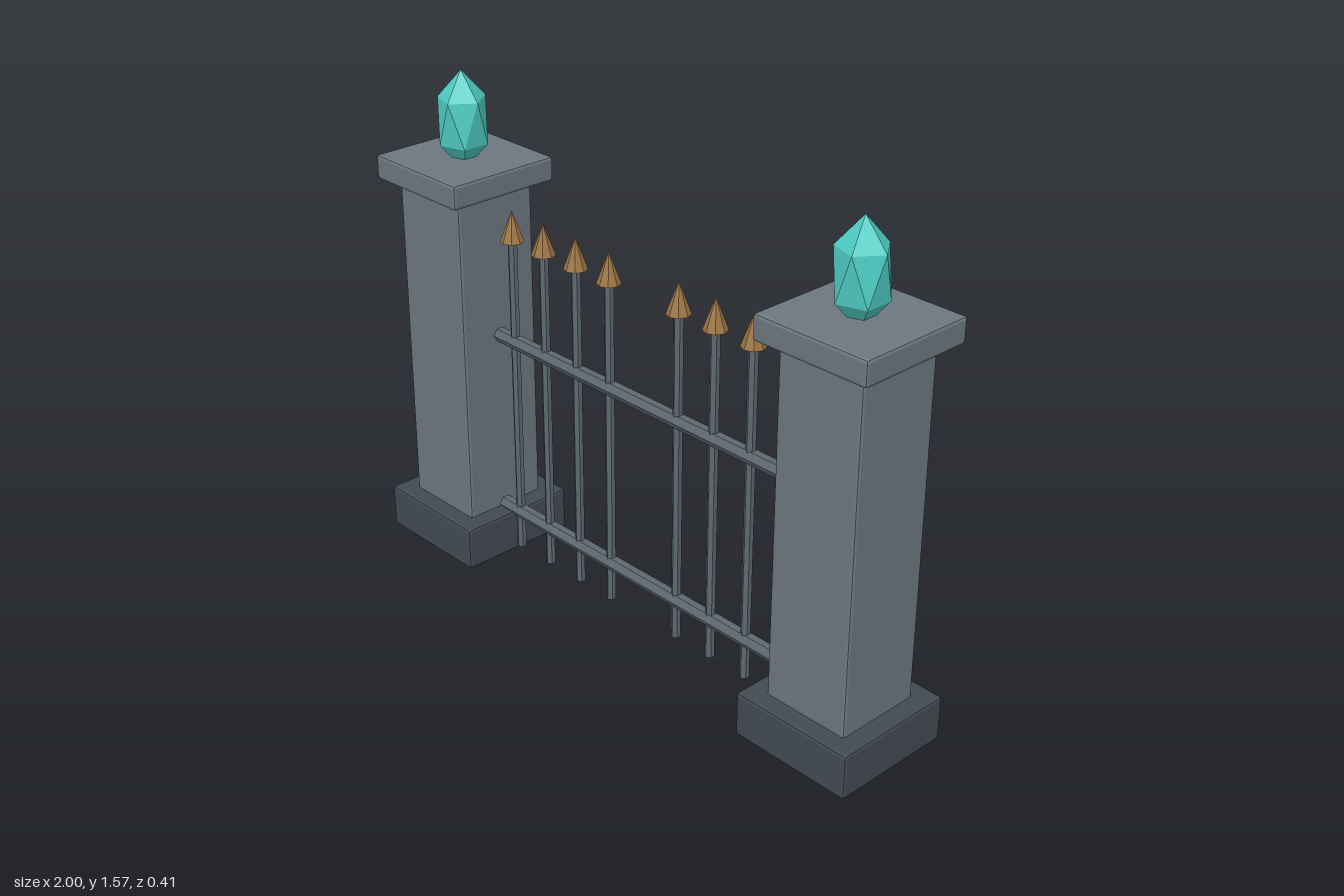
import * as THREE from 'three';
import { RoundedBoxGeometry } from 'three/addons/geometries/RoundedBoxGeometry.js';

export function createModel() {
  const material = (name, color) => {
    const m = new THREE.MeshStandardMaterial({ color, flatShading: true });
    m.name = name;
    return m;
  };
  const stone = material('stone', 0x6c7780);
  const darkStone = material('darkStone', 0x424a52);
  const iron = material('iron', 0x5d6870);
  const bronze = material('bronze', 0x9c7443);
  const crystal = material('crystal', 0x4ecdc4);

  const model = new THREE.Group();
  model.name = 'gate';
  const add = (parent, name, geometry, mat, x, y, z = 0) => {
    const mesh = new THREE.Mesh(geometry, mat);
    mesh.name = name;
    mesh.position.set(x, y, z);
    parent.add(mesh);
    return mesh;
  };

  // Bevelled block standing between two heights
  const block = (parent, name, width, bottom, top, mat) =>
    add(parent, name, new RoundedBoxGeometry(width, top - bottom, width, 1, 0.01),
      mat, 0, (bottom + top) / 2);

  // Crystal: icosahedron turned onto one corner and stretched upwards
  const crystalGeometry = new THREE.IcosahedronGeometry(0.085, 0)
    .rotateZ(-Math.atan(2 / (1 + Math.sqrt(5))))
    .scale(1, 1.86, 1);

  // Stone pillars
  for (const side of [-1, 1]) {
    const pillar = new THREE.Group();
    pillar.name = side > 0 ? 'leftPillar' : 'rightPillar';
    pillar.position.x = side * 0.797;
    block(pillar, 'base', 0.405, 0, 0.143, darkStone);
    block(pillar, 'shaft', 0.285, 0.13, 1.235, stone);
    block(pillar, 'cap', 0.383, 1.225, 1.304, stone);
    add(pillar, 'crystal', crystalGeometry, crystal, 0, 1.416);
    model.add(pillar);
  }

  // Horizontal rails
  const railGeometry = new THREE.CylinderGeometry(0.024, 0.024, 1.31, 6).rotateZ(Math.PI / 2);
  add(model, 'lowerRail', railGeometry, iron, 0, 0.148);
  add(model, 'upperRail', railGeometry, iron, 0, 0.752);

  // Upright bars with spear tips, leaving a gap in the middle
  const barGeometry = new THREE.CylinderGeometry(0.015, 0.015, 1.08, 6);
  const tipGeometry = new THREE.ConeGeometry(0.037, 0.1, 8);
  for (let i = -4; i <= 4; i++) {
    if (i === 0) continue;
    add(model, 'bar', barGeometry, iron, i * 0.1445, 0.558);
    add(model, 'spearTip', tipGeometry, bronze, i * 0.1445, 1.138);
  }
  return model;
}
